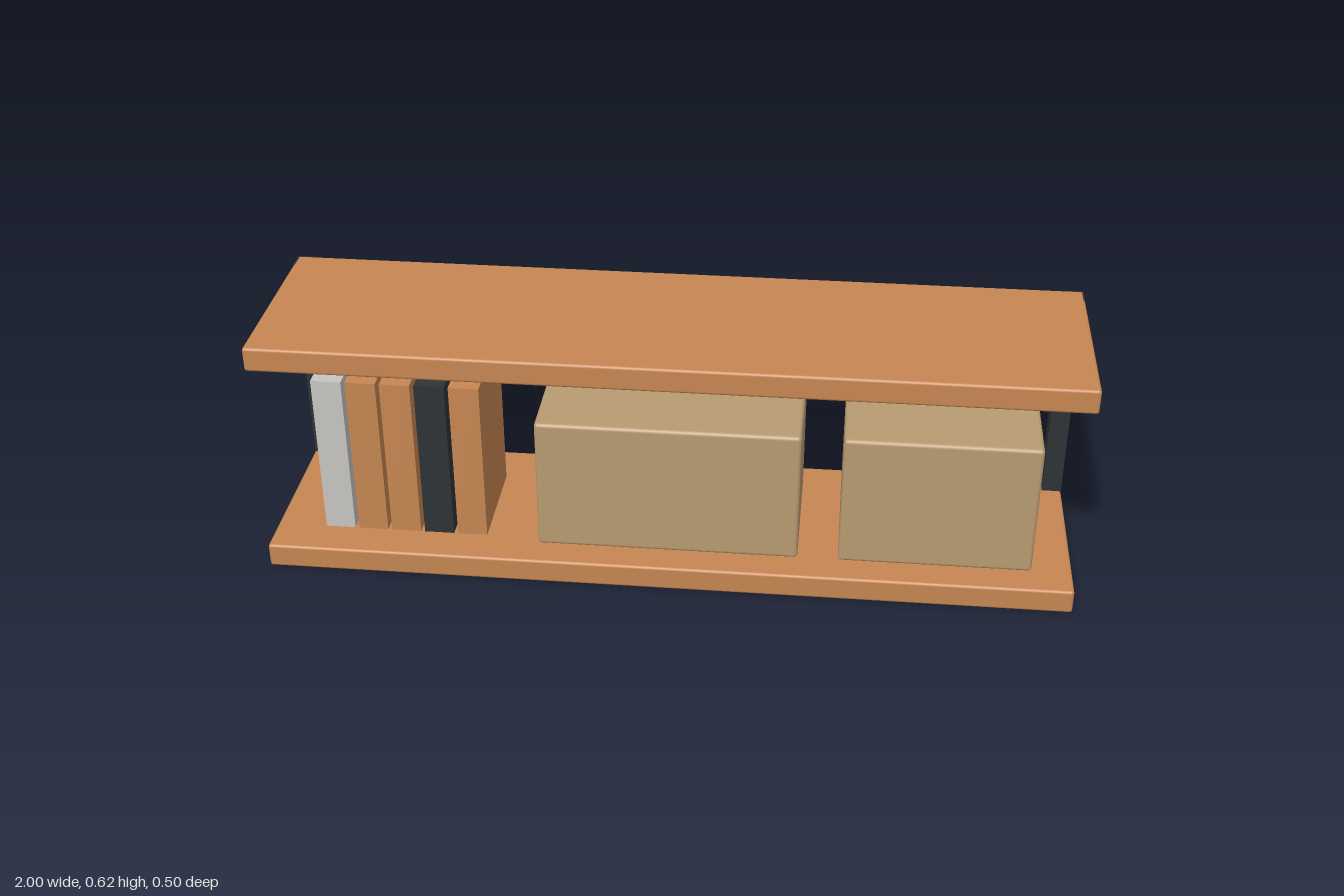
import * as THREE from 'three';
import { RoundedBoxGeometry } from 'three/addons/geometries/RoundedBoxGeometry.js';

const material = (name, color) => {
  const m = new THREE.MeshStandardMaterial({ color });
  m.name = name;
  return m;
};

export function createModel() {
  const wood = material('wood', 0xc68653);
  const metal = material('dark metal', 0x2d3436);
  const kraft = material('kraft board', 0xb89b72);
  const paper = material('pale grey', 0xc8c5c2);

  const group = new THREE.Group();
  group.name = 'wallShelf';

  const add = (name, geometry, mat, x, y, z) => {
    const mesh = new THREE.Mesh(geometry, mat);
    mesh.name = name;
    mesh.position.set(x, y, z);
    group.add(mesh);
  };

  const thickness = 0.0625;
  const height = 0.625;

  // Two softly rounded boards
  const board = new RoundedBoxGeometry(2, thickness, 0.5, 3, 0.0075);
  add('lowerShelf', board, wood, 0, thickness / 2, 0);
  add('upperShelf', board, wood, 0, height - thickness / 2, 0);

  // Rear posts, a hair inside the board faces so only the rounded edges reveal them
  const gap = 0.0006;
  const post = new THREE.BoxGeometry(0.05 - gap, height - 2 * gap, 0.05 - gap);
  for (const side of [-1, 1]) {
    add(side > 0 ? 'leftPost' : 'rightPost', post, metal,
      side * (0.975 - gap / 2), height / 2, -0.225 + gap / 2);
  }

  // Row of upright books
  const book = new THREE.BoxGeometry(0.075, 0.425, 0.275);
  [paper, wood, wood, metal, wood].forEach((cover, i) => {
    add(`book${i + 1}`, book, cover, -0.8375 + i * 0.085, thickness + 0.2125, 0.0125);
  });

  // Storage boxes: [name, width, centre x]
  for (const [name, width, x] of [['largeBox', 0.65, 0], ['smallBox', 0.475, 0.6625]]) {
    add(name, new RoundedBoxGeometry(width, 0.35, 0.35, 3, 0.01), kraft, x, thickness + 0.175, 0);
  }

  return group;
}
